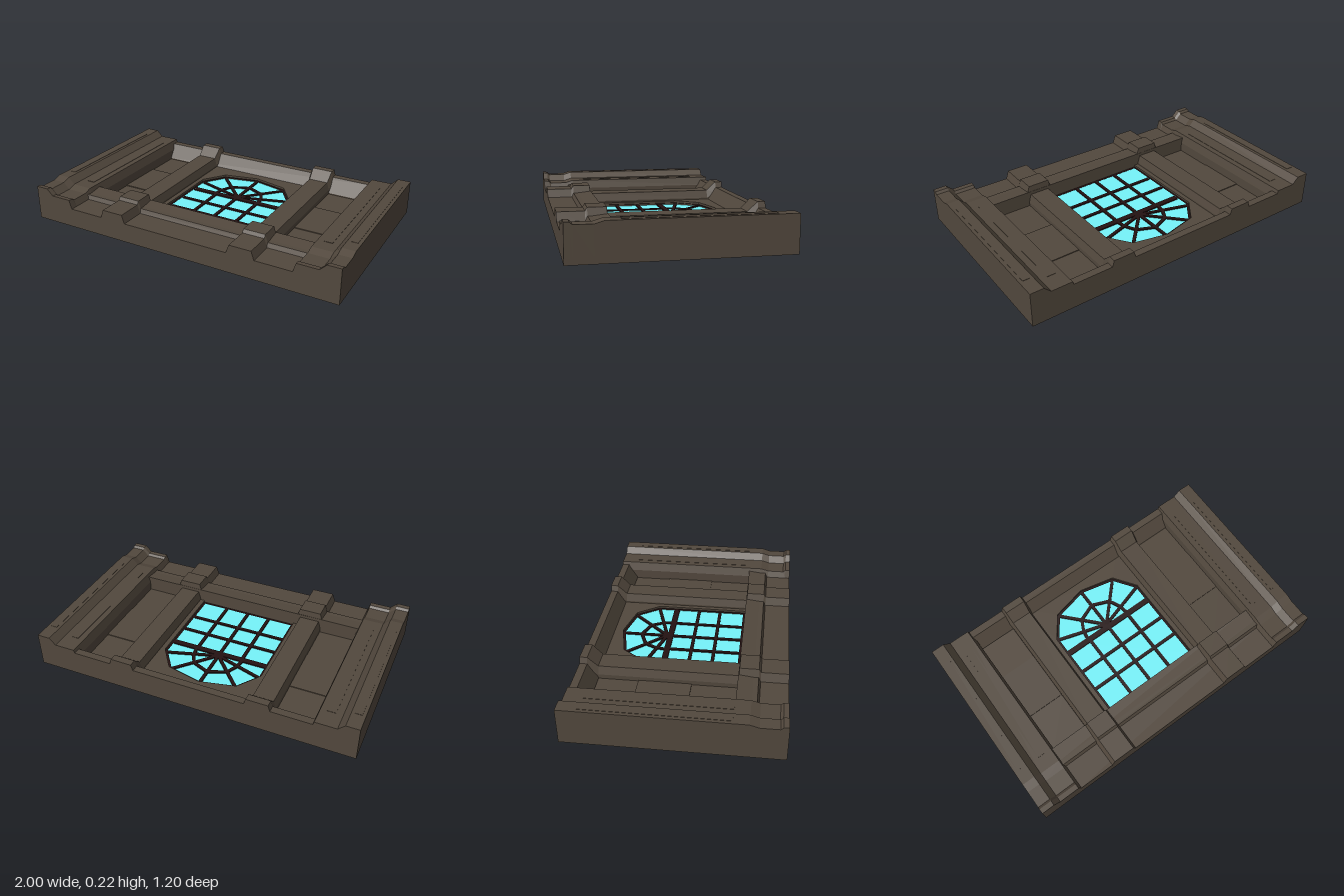
import * as THREE from 'three';

const stone = new THREE.MeshStandardMaterial({ color: 0x52483d, flatShading: true });
const wood = new THREE.MeshStandardMaterial({ color: 0x241212, flatShading: true });
const glass = new THREE.MeshStandardMaterial({ color: 0x76f4fb, flatShading: true });

export function createModel() {
  const root = new THREE.Group();

  const add = (name, geo, mat = stone, parent = root) => {
    const m = new THREE.Mesh(geo, mat);
    m.name = name;
    parent.add(m);
    return m;
  };

  const box = (name, x0, x1, y0, y1, z0, z1) =>
    add(name, new THREE.BoxGeometry(x1 - x0, y1 - y0, z1 - z0))
      .position.set((x0 + x1) / 2, (y0 + y1) / 2, (z0 + z1) / 2);

  // Joins counter-clockwise [x, y] sections placed along z; side = -1 mirrors in x
  const loft = (stations, side = 1) => {
    const rings = stations.map(([z, pts]) => {
      const r = pts.map(([x, y]) => new THREE.Vector3(x * side, y, z));
      return side < 0 ? r.reverse() : r;
    });
    const pos = [];
    const tri = (...vs) => vs.forEach(v => pos.push(v.x, v.y, v.z));
    const n = rings[0].length;
    for (let i = 0; i < rings.length - 1; i++) {
      const a = rings[i], b = rings[i + 1];
      for (let j = 0; j < n; j++) {
        const k = (j + 1) % n;
        tri(a[j], a[k], b[k]);
        tri(a[j], b[k], b[j]);
      }
    }
    const back = rings[0], front = rings[rings.length - 1];
    const flat = r => r.map(v => new THREE.Vector2(v.x, v.y));
    THREE.ShapeUtils.triangulateShape(flat(back), []).forEach(([a, b, c]) => tri(back[c], back[b], back[a]));
    THREE.ShapeUtils.triangulateShape(flat(front), []).forEach(([a, b, c]) => tri(front[a], front[b], front[c]));
    const g = new THREE.BufferGeometry();
    g.setAttribute('position', new THREE.Float32BufferAttribute(pos, 3));
    g.computeVertexNormals();
    return g;
  };

  // Lays an x/z outline flat, with its upper face at height top
  const slabShape = (shape, top, depth) =>
    new THREE.ExtrudeGeometry(shape, { depth, bevelEnabled: false }).rotateX(Math.PI / 2).translate(0, top, 0);

  box('baseSlab', -1, 1, 0, 0.04, -0.6, 0.6);

  // Wall plate with an arched opening
  const arch = [[-0.32, 0.315], [0.32, 0.315], [0.32, -0.26], [0.22, -0.4], [0, -0.45], [-0.22, -0.4], [-0.32, -0.26]]
    .map(p => new THREE.Vector2(...p));
  const inner = arch.map(p => new THREE.Vector2(p.x * 0.96, (p.y + 0.07) * 0.96 - 0.07));
  const wall = new THREE.Shape([[-0.37, -0.56], [0.37, -0.56], [0.37, 0.33], [-0.37, 0.33]].map(p => new THREE.Vector2(...p)));
  wall.holes.push(new THREE.Path(arch));
  add('windowWall', slabShape(wall, 0.075, 0.04));

  // Window: pane, frame and glazing bars
  const win = new THREE.Group();
  win.name = 'window';
  root.add(win);
  add('glassPane', slabShape(new THREE.Shape(arch), 0.05, 0.015), glass, win);
  const rim = new THREE.Shape(arch);
  rim.holes.push(new THREE.Path(inner));
  add('windowFrame', slabShape(rim, 0.062, 0.022), wood, win);

  const bar = (x0, z0, x1, z1, w = 0.02) => {
    const m = add('glazingBar', new THREE.BoxGeometry(Math.hypot(x1 - x0, z1 - z0), 0.016, w), wood, win);
    m.position.set((x0 + x1) / 2, 0.05, (z0 + z1) / 2);
    m.rotation.y = -Math.atan2(z1 - z0, x1 - x0);
  };
  for (const x of [-0.147, 0, 0.152]) bar(x, 0.31, x, -0.15);
  for (const z of [0.145, 0.005]) bar(-0.31, z, 0.31, z);
  bar(-0.31, -0.145, 0.31, -0.145, 0.036);
  bar(0, -0.15, 0, -0.44);
  for (const s of [-1, 1]) {
    bar(0, -0.165, s * 0.31, -0.26);
    bar(0, -0.165, s * 0.215, -0.395);
    bar(s * 0.155, -0.15, s * 0.145, -0.215);
    bar(s * 0.145, -0.215, s * 0.11, -0.285);
    bar(s * 0.11, -0.285, 0, -0.33);
  }

  // Cross trims between the outer piers
  const band = stations => loft(stations.map(([z, y]) =>
    [z, [[-0.76, 0.03], [0.76, 0.03], [0.76, y], [-0.76, y]]]));
  add('topTrim', band([[-0.6, 0.155], [-0.555, 0.155], [-0.495, 0.065]]));
  add('bottomTrim', band([[0.315, 0.155], [0.4, 0.146], [0.43, 0.146], [0.442, 0.12], [0.6, 0.12]]));

  for (const s of [-1, 1]) {
    const span = (name, a, b, ...rest) => box(name, Math.min(a * s, b * s), Math.max(a * s, b * s), ...rest);

    // Recessed panel in three rows, the middle one slightly proud
    span('sidePanel', 0.49, 0.76, 0.03, 0.058, -0.55, -0.26);
    span('sidePanel', 0.49, 0.76, 0.03, 0.063, -0.26, 0.05);
    span('sidePanel', 0.49, 0.76, 0.03, 0.058, 0.05, 0.33);

    // Pilaster: capital, lower narrow shaft and stepped base
    const pil = (z, w, t, y) => [z, [[0.425 - w, 0.03], [0.425 + w, 0.03], [0.425 + w, y * 0.63], [0.425 + t, y], [0.425 - t, y], [0.425 - w, y * 0.63]]];
    add('pilaster', loft([
      pil(-0.6, 0.088, 0.066, 0.192), pil(-0.555, 0.088, 0.066, 0.192), pil(-0.495, 0.076, 0.062, 0.135),
      pil(0.315, 0.076, 0.062, 0.135), pil(0.32, 0.09, 0.068, 0.192), pil(0.43, 0.09, 0.068, 0.192),
      pil(0.442, 0.09, 0.068, 0.172), pil(0.6, 0.09, 0.068, 0.172)], s));

    // Outer pier with a shallow groove across its foot
    const pier = (z, d) => [z, [[0.735, 0.03], [1, 0.03], [1, 0.214 - d], [0.92, 0.214 - d], [0.88, 0.175 - d], [0.752, 0.175 - d], [0.735, 0.12]]];
    add('outerPier', loft([pier(-0.6, 0), pier(0.4, 0), pier(0.45, 0.015), pier(0.555, 0.015), pier(0.57, 0.002), pier(0.6, 0)], s));
    span('pierStrip', 0.79, 0.84, 0.17, 0.177, -0.49, 0.315);
    span('pierStrip', 0.94, 0.98, 0.21, 0.216, -0.49, 0.315);
  }
  return root;
}
